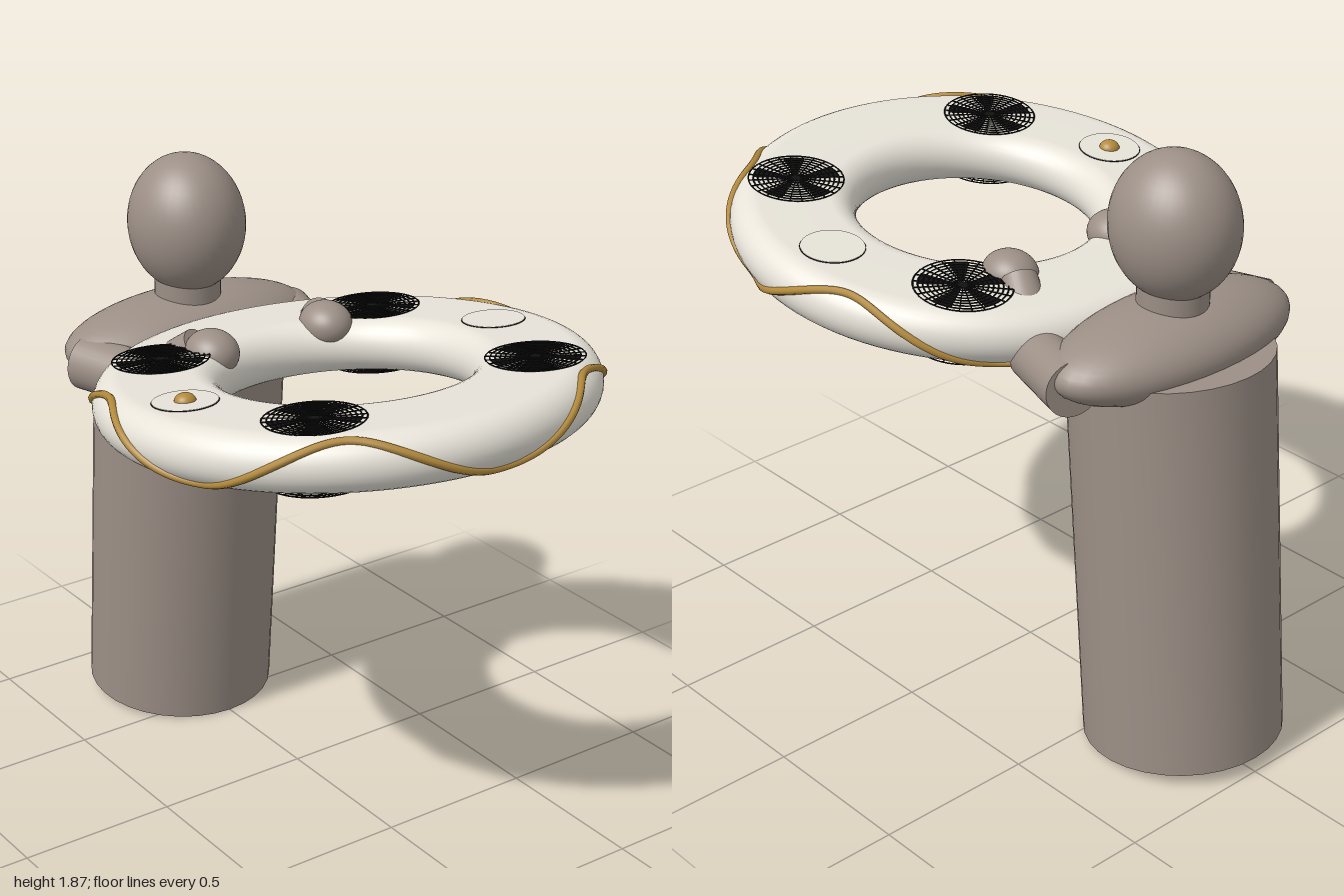
import * as THREE from 'three';
import { mergeGeometries } from 'three/addons/utils/BufferGeometryUtils.js';

const material = (name, color) => {
  const m = new THREE.MeshStandardMaterial({ color });
  m.name = name;
  return m;
};

export function createModel() {
  const skin = material('taupe', 0x9c8f86);
  const shell = material('ivory', 0xe8e4da);
  const gold = material('gold', 0xb38a3c);
  const black = material('black', 0x111111);

  const model = new THREE.Group();
  model.name = 'riderWithRing';

  const add = (parent, name, geometry, mat, x = 0, y = 0, z = 0) => {
    const mesh = new THREE.Mesh(geometry, mat);
    mesh.name = name;
    mesh.position.set(x, y, z);
    parent.add(mesh);
    return mesh;
  };
  const ellipsoid = (rx, ry, rz) => new THREE.SphereGeometry(1, 40, 28).scale(rx, ry, rz);
  const limb = (parent, name, a, b, ra, rb) => {
    const from = new THREE.Vector3(...a), to = new THREE.Vector3(...b);
    const dir = to.clone().sub(from);
    const mesh = add(parent, name, new THREE.CylinderGeometry(rb, ra, dir.length(), 32), skin);
    mesh.position.copy(from).add(to).multiplyScalar(0.5);
    mesh.quaternion.setFromUnitVectors(new THREE.Vector3(0, 1, 0), dir.normalize());
    return mesh;
  };

  // Figure: leaning trunk, shoulders, neck and head
  const figure = new THREE.Group();
  figure.name = 'figure';
  model.add(figure);
  limb(figure, 'trunk', [0, 0.025, -0.695], [0, 1.265, -0.595], 0.305, 0.305);
  add(figure, 'shoulders', ellipsoid(0.44, 0.13, 0.21), skin, 0, 1.3, -0.6);
  add(figure, 'neck', new THREE.CylinderGeometry(0.105, 0.105, 0.2, 32), skin, 0, 1.42, -0.6);
  add(figure, 'head', ellipsoid(0.18, 0.22, 0.2), skin, 0, 1.655, -0.6);

  // Arms reach forward and the hands rest on top of the ring
  for (const s of [1, -1]) {
    const arm = new THREE.Group();
    arm.name = s > 0 ? 'leftArm' : 'rightArm';
    figure.add(arm);
    limb(arm, 'upperArm', [s * 0.38, 1.272, -0.6], [s * 0.31, 1.27, -0.37], 0.086, 0.083);
    add(arm, 'elbow', ellipsoid(0.083, 0.083, 0.083), skin, s * 0.31, 1.27, -0.37);
    limb(arm, 'forearm', [s * 0.31, 1.27, -0.37], [s * 0.225, 1.42, -0.2], 0.07, 0.055);
    add(arm, 'hand', ellipsoid(0.08, 0.07, 0.09), skin, s * 0.21, 1.412, -0.145);
  }

  // Tilted ring with a flat top and bottom and round rims
  const half = 0.085, outer = 0.745, inner = 0.365;
  const ring = new THREE.Group();
  ring.name = 'ring';
  ring.position.set(0, 1.385, 0.25);
  ring.rotation.x = -THREE.MathUtils.degToRad(6);
  model.add(ring);
  const profile = [];
  for (const [cx, start] of [[outer - half, -Math.PI / 2], [inner + half, Math.PI / 2]]) {
    for (let i = 0; i <= 16; i++) {
      const a = start + (i / 16) * Math.PI;
      profile.push(new THREE.Vector2(cx + half * Math.cos(a), half * Math.sin(a)));
    }
  }
  profile.push(profile[0].clone());
  add(ring, 'ringShell', new THREE.LatheGeometry(profile, 96), shell);

  // Gold cord waving five times around the outer rim
  const path = [];
  for (let i = 0; i < 120; i++) {
    const a = (i / 120) * Math.PI * 2;
    const y = -0.072 * Math.cos(5 * a);
    const r = outer - half + Math.sqrt(half * half - y * y);
    path.push(new THREE.Vector3(r * Math.sin(a), y, r * Math.cos(a)));
  }
  const curve = new THREE.CatmullRomCurve3(path, true);
  add(ring, 'waveBand', new THREE.TubeGeometry(curve, 300, 0.012, 8, true), gold);

  // Fan cover: concentric wires, spokes and five flat blades
  const parts = [];
  for (let i = 1; i <= 10; i++) {
    parts.push(new THREE.TorusGeometry(0.0145 * i, 0.0024, 4, 40).rotateX(Math.PI / 2));
  }
  for (let i = 0; i < 12; i++) {
    parts.push(new THREE.BoxGeometry(0.29, 0.003, 0.003).rotateY((i / 12) * Math.PI));
  }
  for (let i = 0; i < 5; i++) {
    const start = (i / 5) * Math.PI * 2 + 0.1;
    parts.push(new THREE.CircleGeometry(0.13, 8, start, 0.5).rotateX(-Math.PI / 2));
  }
  const fan = mergeGeometries(parts);
  for (const side of [1, -1]) {
    for (const x of [-0.39, 0.39]) {
      for (const z of [-0.39, 0.39]) {
        const cover = add(ring, side > 0 ? 'topFan' : 'bottomFan', fan, black, x, side * (half + 0.003), z);
        if (side < 0) cover.rotation.x = Math.PI;
      }
    }
  }

  // Round side panels, with a gold knob above and below on one side
  for (const x of [-0.555, 0.555]) {
    add(ring, 'sidePanel', new THREE.CylinderGeometry(0.095, 0.095, 0.006, 48), shell, x, half, 0);
    add(ring, 'panelSeam', new THREE.TorusGeometry(0.095, 0.002, 4, 64).rotateX(Math.PI / 2), black, x, half, 0);
  }
  for (const side of [1, -1]) {
    add(ring, 'knob', ellipsoid(0.032, 0.025, 0.032), gold, -0.555, side * half, 0);
  }

  return model;
}
